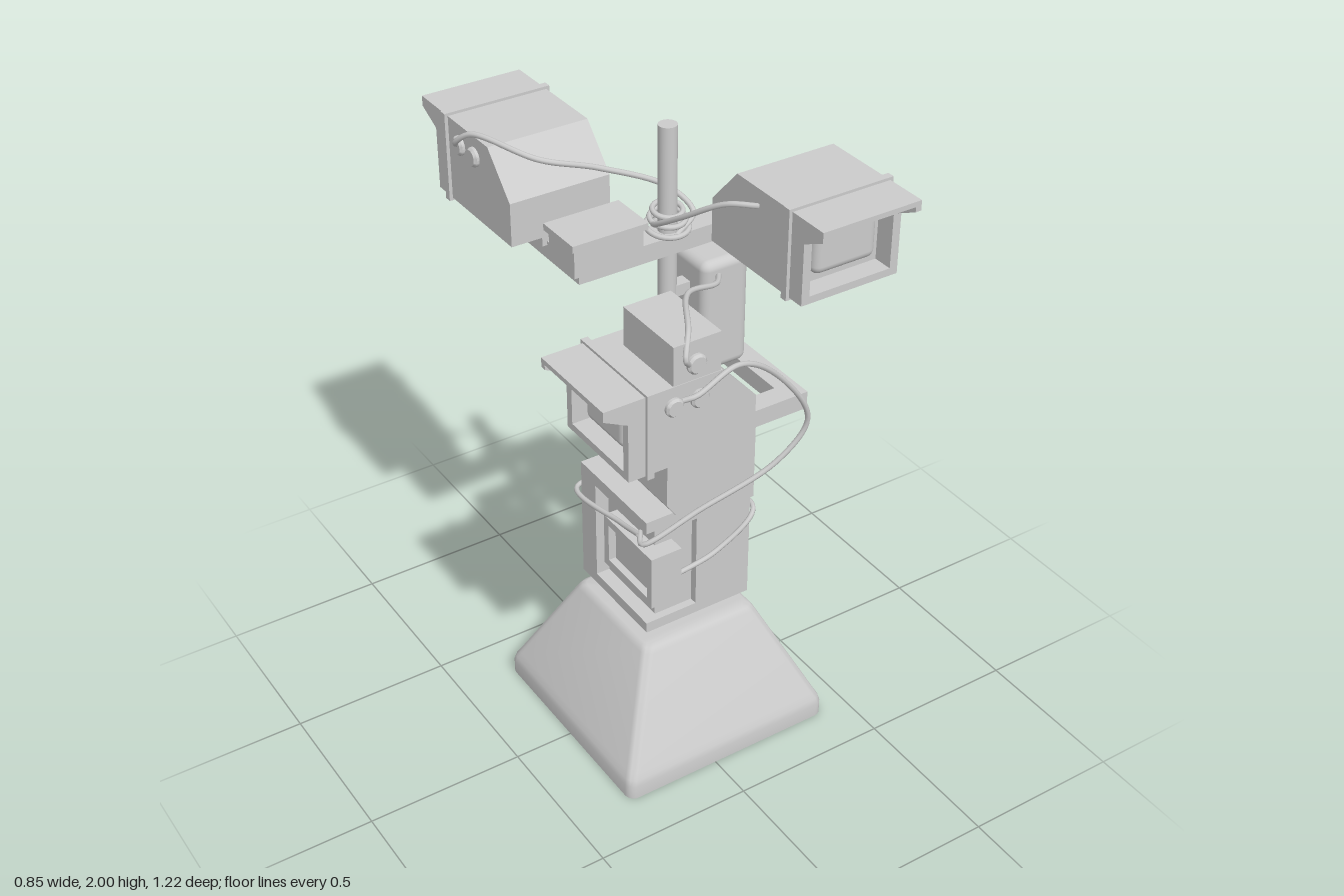
import * as THREE from 'three';
import { toCreasedNormals } from 'three/addons/utils/BufferGeometryUtils.js';
import { RoundedBoxGeometry } from 'three/addons/geometries/RoundedBoxGeometry.js';

const mat = new THREE.MeshStandardMaterial({ color: 0xcccccc });

function add(parent, name, geo) {
  const m = new THREE.Mesh(geo, mat);
  m.name = name;
  parent.add(m);
  return m;
}

// box given by its limits on each axis, optionally rounded
function box(parent, name, x0, x1, y0, y1, z0, z1, r = 0) {
  const s = [x1 - x0, y1 - y0, z1 - z0];
  const g = r ? new RoundedBoxGeometry(...s, 3, r) : new THREE.BoxGeometry(...s);
  g.translate((x0 + x1) / 2, (y0 + y1) / 2, (z0 + z1) / 2);
  return add(parent, name, g);
}

function polygon(pts) {
  return new THREE.Shape(pts.map(p => new THREE.Vector2(...p)));
}

// side profile of [z, y] points, extruded across x from x0 to x1
function sideProfile(parent, name, pts, x0, x1) {
  const g = new THREE.ExtrudeGeometry(polygon(pts), { depth: x1 - x0, bevelEnabled: false });
  g.rotateY(-Math.PI / 2).translate(x1, 0, 0);
  return add(parent, name, g);
}

// front profile of [x, y] points, extruded from z0 to z1
function frontProfile(parent, name, pts, z0, z1, hole) {
  const s = polygon(pts);
  if (hole) s.holes.push(polygon(hole));
  const g = new THREE.ExtrudeGeometry(s, { depth: z1 - z0, bevelEnabled: false });
  return add(parent, name, g.translate(0, 0, z0));
}

const rect = (x0, x1, y0, y1) => [[x0, y0], [x1, y0], [x1, y1], [x0, y1]];

// short round plug whose axis is 'x' or 'z'
function knob(parent, x, y, z, axis, r = 0.028) {
  const prof = [[0, -0.015], [r, -0.015], [r, 0.008], [r * 0.8, 0.015], [0, 0.015]];
  const g = toCreasedNormals(new THREE.LatheGeometry(prof.map(p => new THREE.Vector2(...p)), 20), 0.6);
  if (axis === 'x') g.rotateZ(-Math.PI / 2); else g.rotateX(Math.PI / 2);
  add(parent, 'cablePlug', g.translate(x, y, z));
}

function cable(parent, name, pts) {
  const c = new THREE.CatmullRomCurve3(pts.map(p => new THREE.Vector3(...p)));
  add(parent, name, new THREE.TubeGeometry(c, pts.length * 10, 0.008, 8, false));
}

// tapering rounded-square foot lofted from [y, half width, corner radius]
function footGeometry(levels) {
  const pos = [], idx = [], seg = 5, n = 4 * (seg + 1);
  for (const [y, h, r] of levels)
    for (let c = 0; c < 4; c++)
      for (let i = 0; i <= seg; i++) {
        const a = (c + i / seg) * Math.PI / 2, q = Math.PI / 4 + c * Math.PI / 2;
        pos.push(Math.sign(Math.cos(q)) * (h - r) + r * Math.cos(a), y,
          Math.sign(Math.sin(q)) * (h - r) + r * Math.sin(a));
      }
  for (let l = 0; l < levels.length - 1; l++)
    for (let i = 0; i < n; i++) {
      const a = l * n + i, b = l * n + (i + 1) % n;
      idx.push(a, a + n, b, b, a + n, b + n);
    }
  const top = (levels.length - 1) * n;
  for (let i = 1; i < n - 1; i++) idx.push(0, i, i + 1, top, top + i + 1, top + i);
  const g = new THREE.BufferGeometry();
  g.setAttribute('position', new THREE.Float32BufferAttribute(pos, 3));
  g.setIndex(idx);
  return toCreasedNormals(g, 0.6);
}

// boxy camera facing +z, its back at z = 0 and its underside at y = 0
function makeCamera(parent, x, y, z, turn) {
  const cam = new THREE.Group();
  cam.name = 'camera';
  const w = 0.155, h = 0.25;
  sideProfile(cam, 'cameraBody', [[0, 0], [0.345, 0], [0.345, h], [0.11, h], [0, 0.13]], -w, w);
  frontProfile(cam, 'frontFrame', rect(-w, w, 0, h), 0.345, 0.405, rect(-0.13, 0.13, 0.022, 0.232));
  box(cam, 'lens', -0.1, 0.1, 0.055, 0.2, 0.32, 0.385, 0.025);
  frontProfile(cam, 'band', rect(-w - 0.01, w + 0.01, -0.008, h + 0.008), 0.33, 0.352,
    rect(-w + 0.01, w - 0.01, 0.01, h - 0.01));
  sideProfile(cam, 'hood', [[0.4, h - 0.015], [0.48, h - 0.015], [0.48, h], [0.4, h]], -w, w);
  for (const s of [-1, 1]) {
    const a = s * w, b = s * (w - 0.018);
    sideProfile(cam, 'hoodCheek', [[0.4, 0.18], [0.48, 0.22], [0.48, h - 0.01], [0.4, h - 0.01]],
      Math.min(a, b), Math.max(a, b));
  }
  for (const k of [0.185, 0.265]) knob(cam, w, 0.19, k, 'x');
  cam.position.set(x, y, z);
  cam.rotation.y = turn;
  parent.add(cam);
}

export function createModel() {
  const g = new THREE.Group();
  g.name = 'cameraTower';

  // foot, neck and pole
  add(g, 'foot', footGeometry([[0, 0.36, 0.03], [0.045, 0.36, 0.03], [0.065, 0.355, 0.03],
    [0.085, 0.345, 0.03], [0.385, 0.205, 0.03], [0.4, 0.195, 0.03], [0.405, 0.185, 0.03]]))
    .position.set(0.05, 0, -0.01);
  box(g, 'neck', -0.08, 0.19, 0.4, 0.46, -0.15, 0.12);
  add(g, 'pole', new THREE.CylinderGeometry(0.027, 0.027, 1.14, 24)).position.set(0.053, 1.43, -0.012);

  // cabinet with a recessed corner
  box(g, 'cabinetTop', -0.135, 0.23, 0.825, 0.865, -0.19, 0.17);
  box(g, 'cabinetBottom', -0.135, 0.23, 0.455, 0.49, -0.19, 0.17);
  box(g, 'cabinetSide', 0.04, 0.23, 0.49, 0.825, -0.19, 0.17);
  box(g, 'cabinetBack', -0.135, 0.04, 0.49, 0.825, -0.19, -0.11);
  box(g, 'cabinetCore', -0.09, 0.04, 0.49, 0.825, -0.11, 0.145);

  // control panel facing the cabinet's right side
  const panel = new THREE.Group();
  panel.name = 'controlPanel';
  box(panel, 'panelBody', -0.13, 0.13, 0.57, 0.75, 0, 0.08);
  frontProfile(panel, 'panelFrame', rect(-0.13, 0.13, 0.57, 0.75), 0.08, 0.105, rect(-0.105, 0.105, 0.595, 0.725));
  box(panel, 'panelScreen', -0.085, 0.085, 0.61, 0.71, 0.07, 0.092);
  panel.position.set(-0.032, 0, 0.07);
  panel.rotation.y = -Math.PI / 2;
  g.add(panel);

  // junction box with a cut lower corner
  frontProfile(g, 'junctionBox', [[-0.05, 0.875], [0.19, 0.875], [0.19, 1.155], [-0.11, 1.155], [-0.11, 0.96]], 0.03, 0.24);
  box(g, 'junctionClamp', 0.02, 0.085, 0.98, 1.02, -0.03, 0.04);

  // lower shelf frame
  box(g, 'lowerShelfBack', -0.11, 0.318, 1.175, 1.23, -0.232, -0.172);
  box(g, 'lowerShelfSide', 0.25, 0.318, 1.175, 1.23, -0.172, 0.24);
  frontProfile(g, 'lowerShelfFront', [[-0.05, 1.175], [0.318, 1.175], [0.318, 1.23], [-0.11, 1.23], [-0.11, 1.22]], 0.24, 0.305);
  box(g, 'lowerCameraMount', -0.09, 0.04, 1.225, 1.25, 0.2, 0.305);
  box(g, 'lowerShelfArm', 0.02, 0.09, 1.175, 1.23, -0.172, 0.24);

  // tall rounded cylinder box with clamps to the pole
  box(g, 'supplyBox', 0.115, 0.27, 1.232, 1.59, -0.092, 0.08, 0.028);
  for (const y of [1.315, 1.49]) box(g, 'supplyClamp', 0.06, 0.13, y - 0.018, y + 0.018, -0.03, 0.01);

  // upper shelf with one arm to each camera
  box(g, 'upperShelf', -0.255, 0.3, 1.627, 1.682, -0.055, 0.03);
  sideProfile(g, 'frontArm', [[0.03, 1.627], [0.3, 1.627], [0.345, 1.65], [0.345, 1.682], [0.03, 1.682]], 0.205, 0.3);
  sideProfile(g, 'backArm', [[-0.055, 1.682], [-0.3, 1.682], [-0.3, 1.65], [-0.26, 1.627], [-0.055, 1.627]].reverse(), -0.255, -0.15);
  box(g, 'frontCameraMount', 0.19, 0.315, 1.67, 1.705, 0.13, 0.285);
  box(g, 'backCameraMount', -0.27, -0.14, 1.67, 1.705, -0.28, -0.135);

  // control box on the upper shelf
  box(g, 'shelfBox', -0.295, -0.08, 1.68, 1.77, -0.055, 0.075);
  box(g, 'shelfBoxLid', -0.305, -0.07, 1.765, 1.785, -0.065, 0.085);

  // three cameras
  makeCamera(g, 0.257, 1.7, 0.13, 0);
  makeCamera(g, -0.212, 1.7, -0.13, Math.PI);
  makeCamera(g, 0.06, 1.245, 0.257, -Math.PI / 2);

  // small box on the lower camera
  box(g, 'topBox', -0.205, -0.055, 1.49, 1.615, 0.17, 0.41);
  knob(g, -0.135, 1.545, 0.41, 'z', 0.03);

  // cables
  cable(g, 'longCable', [[-0.18, 1.45, 0.42], [-0.15, 1.46, 0.435], [0, 1.49, 0.41], [0.15, 1.39, 0.38],
    [0.28, 1.18, 0.36], [0.2, 1.05, 0.33], [-0.02, 0.93, 0.27], [-0.18, 0.84, 0.22], [-0.15, 0.835, 0.16]]);
  cable(g, 'cabinetCable', [[-0.05, 0.65, 0.19], [0.1, 0.68, 0.19], [0.235, 0.77, 0.18], [0.245, 0.76, 0],
    [0.245, 0.81, -0.2], [0.22, 0.82, -0.25], [0.05, 0.78, -0.2], [-0.145, 0.77, -0.2], [-0.15, 0.8, 0.05], [-0.16, 0.835, 0.17]]);
  cable(g, 'backCameraCable', [[-0.37, 1.89, -0.4], [-0.39, 1.91, -0.38], [-0.37, 1.955, -0.32], [-0.27, 1.93, -0.14],
    [-0.1, 1.87, -0.11], [0.09, 1.78, -0.06], [0.13, 1.72, 0], [0.05, 1.69, 0.04]]);
  cable(g, 'frontCameraCable', [[0.105, 1.9, 0.34], [0.05, 1.89, 0.27], [0, 1.8, 0.13], [0.0, 1.72, 0], [0.06, 1.7, -0.06]]);
  cable(g, 'topBoxCable', [[-0.16, 1.55, 0.415], [-0.18, 1.58, 0.43], [-0.14, 1.625, 0.38], [-0.02, 1.61, 0.2],
    [0.12, 1.56, 0.13], [0.17, 1.545, 0.07]]);
  for (const [y, r] of [[1.695, 0.06], [1.72, 0.05], [1.745, 0.042]]) {
    const coil = add(g, 'cableCoil', new THREE.TorusGeometry(r, 0.008, 8, 28));
    coil.rotation.set(Math.PI / 2 + 0.12, 0, 0);
    coil.position.set(0.053, y, -0.012);
  }
  return g;
}
